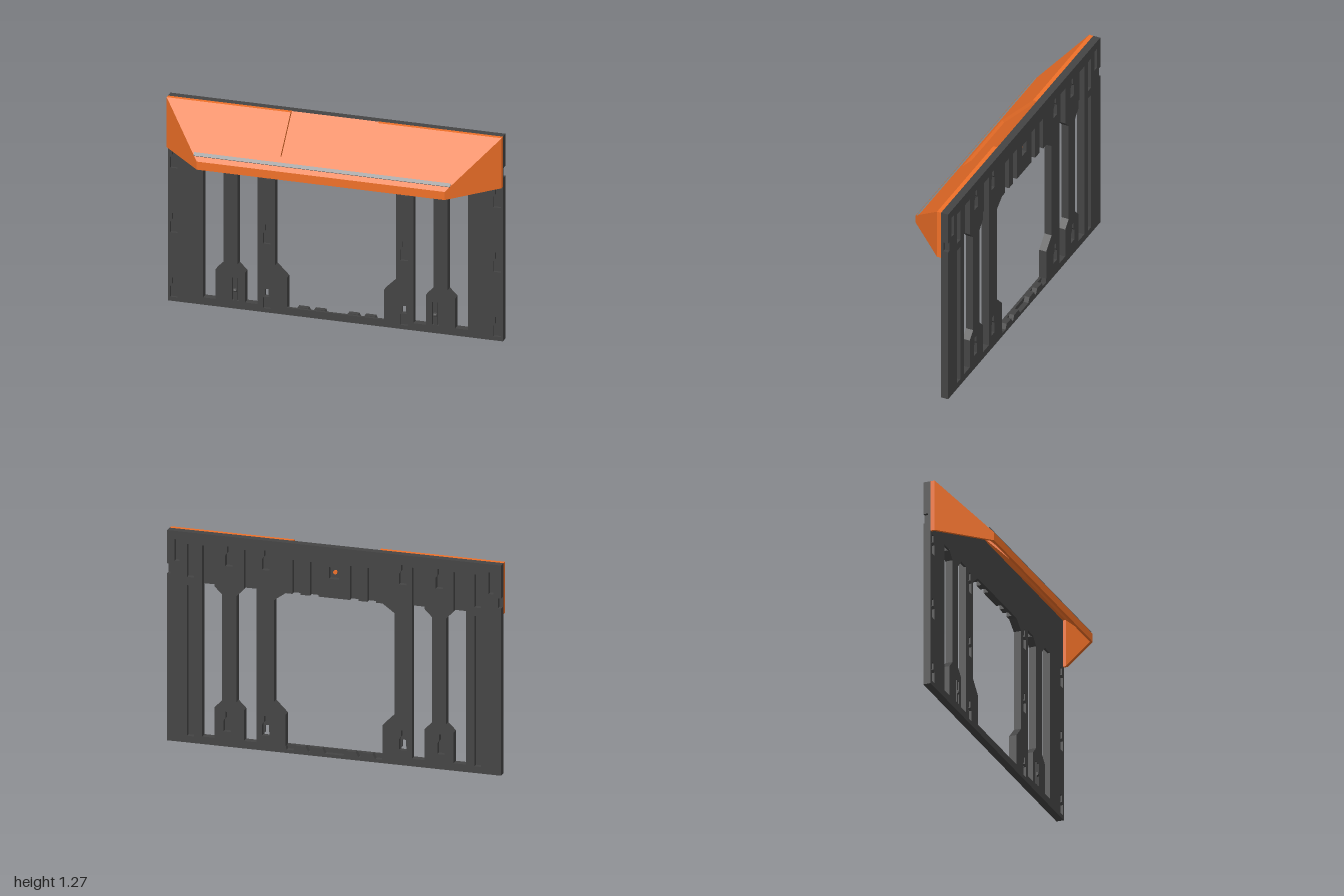
import * as THREE from 'three';

const ORANGE = new THREE.MeshStandardMaterial({ color: 0xf07028, flatShading: true, side: THREE.DoubleSide });
const DARK = new THREE.MeshStandardMaterial({ color: 0x444444, flatShading: true });
const GREY = new THREE.MeshStandardMaterial({ color: 0x8c8c8c, flatShading: true });

const toPoints = (list) => list.map(([x, y]) => new THREE.Vector2(x, y));
const flip = (list) => list.map(([x, y]) => [-x, y]);
const rect = (x0, y0, x1, y1) => [[x0, y0], [x1, y0], [x1, y1], [x0, y1]];

// Wide slot with a narrow neck on top
const keyhole = (x, y) => [
  [x - 0.022, y - 0.06], [x + 0.022, y - 0.06], [x + 0.022, y + 0.005], [x + 0.011, y + 0.02],
  [x + 0.011, y + 0.06], [x - 0.011, y + 0.06], [x - 0.011, y + 0.02], [x - 0.022, y + 0.005],
];

// Openings on either side of the slim column; their tops end at the given height
const outerOpening = (top) => [
  [0.79, 0.045], [0.79, top], [0.715, top], [0.715, 0.96], [0.67, 0.915],
  [0.67, 0.275], [0.715, 0.23], [0.715, 0.045],
];
const innerOpening = (top) => [
  [0.465, 0.045], [0.465, top], [0.54, top], [0.54, 0.96], [0.585, 0.915],
  [0.585, 0.275], [0.54, 0.23], [0.54, 0.045],
];

// Central opening, with optional ribs along the top and bumps along the bottom
function centreOpening(ribbed) {
  const right = [[0.29, 0.045], [0.29, 0.23], [0.36, 0.3], [0.36, 0.915], [0.29, 0.965]];
  const left = flip(right).reverse();
  if (!ribbed) return [...right, ...left];
  const top = [], bottom = [];
  for (const x of [0.225, 0.12, -0.12, -0.225]) {
    top.push([x + 0.025, 0.965], [x + 0.025, 1.17], [x - 0.025, 1.17], [x - 0.025, 0.965]);
  }
  for (const x of [-0.2, -0.1, 0.1, 0.2]) {
    bottom.push([x - 0.045, 0.02], [x - 0.03, 0.05], [x + 0.03, 0.05], [x + 0.045, 0.02]);
  }
  return [...right, ...top, ...left, [-0.285, 0.02], ...bottom, [0.285, 0.02]];
}

function plate(name, outline, holes, depth, material) {
  const shape = new THREE.Shape(toPoints(outline));
  for (const h of holes) shape.holes.push(new THREE.Path(toPoints(h)));
  const mesh = new THREE.Mesh(new THREE.ExtrudeGeometry(shape, { depth, bevelEnabled: false }), material);
  mesh.name = name;
  return mesh;
}

function box(name, size, pos, material) {
  const mesh = new THREE.Mesh(new THREE.BoxGeometry(...size), material);
  mesh.name = name;
  mesh.position.set(...pos);
  return mesh;
}

function createFrame() {
  const frame = new THREE.Group();
  frame.name = 'backFrame';

  // Front skin with hanging keyholes
  const frontHalf = [outerOpening(0.962), innerOpening(0.962)];
  for (const y of [0.085, 0.485, 0.885]) frontHalf.push(keyhole(0.965, y), keyhole(0.41, y));
  for (const x of [0.583, 0.612]) frontHalf.push(rect(x - 0.006, 0.05, x + 0.006, 0.19));
  const front = plate('frontSkin', rect(-1, 0, 1, 1.27),
    [centreOpening(false), ...frontHalf, ...frontHalf.map(flip)], 0.015, DARK);
  front.position.z = -0.135;

  // Back layer with pockets, grooves and notched sides
  const backHalf = [
    outerOpening(1.2), innerOpening(1.2),
    keyhole(0.41, 0.15), keyhole(0.64, 0.15), keyhole(0.41, 1.15), keyhole(0.63, 1.15),
    rect(0.84, 0.04, 0.88, 0.95), rect(0.84, 1.0, 0.88, 1.2),
    rect(0.925, 1.09, 0.955, 1.22),
  ];
  const side = [[1, 0], [1, 1.01], [0.98, 1.01], [0.98, 1.07], [1, 1.07], [1, 1.27]];
  const back = plate('ribLayer', [...side, ...flip(side).reverse()],
    [centreOpening(true), rect(-0.03, 1.08, 0.03, 1.15), ...backHalf, ...backHalf.map(flip)], 0.03, DARK);
  back.position.z = -0.165;
  frame.add(front, back);

  // Spring clips on the slim columns
  for (const s of [-1, 1]) {
    const clip = new THREE.Mesh(new THREE.CylinderGeometry(0.012, 0.012, 0.018, 8), DARK);
    clip.name = 'clip';
    clip.rotation.z = Math.PI / 2;
    clip.position.set(s * 0.598, 0.115, -0.12);
    frame.add(clip);
  }
  const pin = new THREE.Mesh(new THREE.CylinderGeometry(0.012, 0.012, 0.015, 12), ORANGE);
  pin.name = 'latchPin';
  pin.rotation.x = Math.PI / 2;
  pin.position.set(0, 1.115, -0.14);
  frame.add(pin);
  return frame;
}

function createHood() {
  const hood = new THREE.Group();
  hood.name = 'hood';
  const R = Math.SQRT2, wall = 0.02;

  // Sloped parts share a frame: x across, y up the slope, z outward
  const slope = new THREE.Group();
  slope.name = 'slopedTop';
  slope.position.set(0, 1.27, -0.095);
  slope.rotation.x = -Math.PI / 4;
  const low = -0.26 * R;
  const half = [[0.26, 0], [0.26, -0.275], [-0.26, -0.275], [-0.26, 0]];
  const skin = plate('slopePanel', [[-1, 0], [-0.74, low], [0.74, low], [1, 0], ...half], [], wall, ORANGE);
  skin.position.z = -wall;
  const flap = box('flap', [0.54, 0.3, 0.014], [0, -0.134, -0.025], ORANGE);
  const strip = box('greyStrip', [1.53, 0.022, 0.012], [0, -0.325, 0], GREY);
  slope.add(skin, flap, strip);
  hood.add(slope);

  // Slanted cheeks, top rims and side rims
  for (const s of [-1, 1]) {
    const cheek = plate('cheek', [[0, 0], [0.26 * R, 0], [0.26 * R, 0.05], [0, 0.31]].map(([x, y]) => [-s * x, y]),
      [], 0.015, ORANGE);
    cheek.geometry.translate(0, 0, -0.015);
    cheek.position.set(s, 0.96, -0.095);
    cheek.rotation.y = s * Math.PI / 4;
    hood.add(cheek,
      box('topRim', [0.74, 0.02, 0.025], [s * 0.63, 1.26, -0.1075], ORANGE),
      box('sideRim', [0.015, 0.31, 0.025], [s * 0.9925, 1.115, -0.1075], ORANGE));
  }
  hood.add(box('frontLip', [1.48, 0.05, 0.015], [0, 0.985, 0.1575], ORANGE));
  return hood;
}

export function createModel() {
  const model = new THREE.Group();
  model.name = 'wallPanelWithHood';
  model.add(createFrame(), createHood());
  return model;
}
